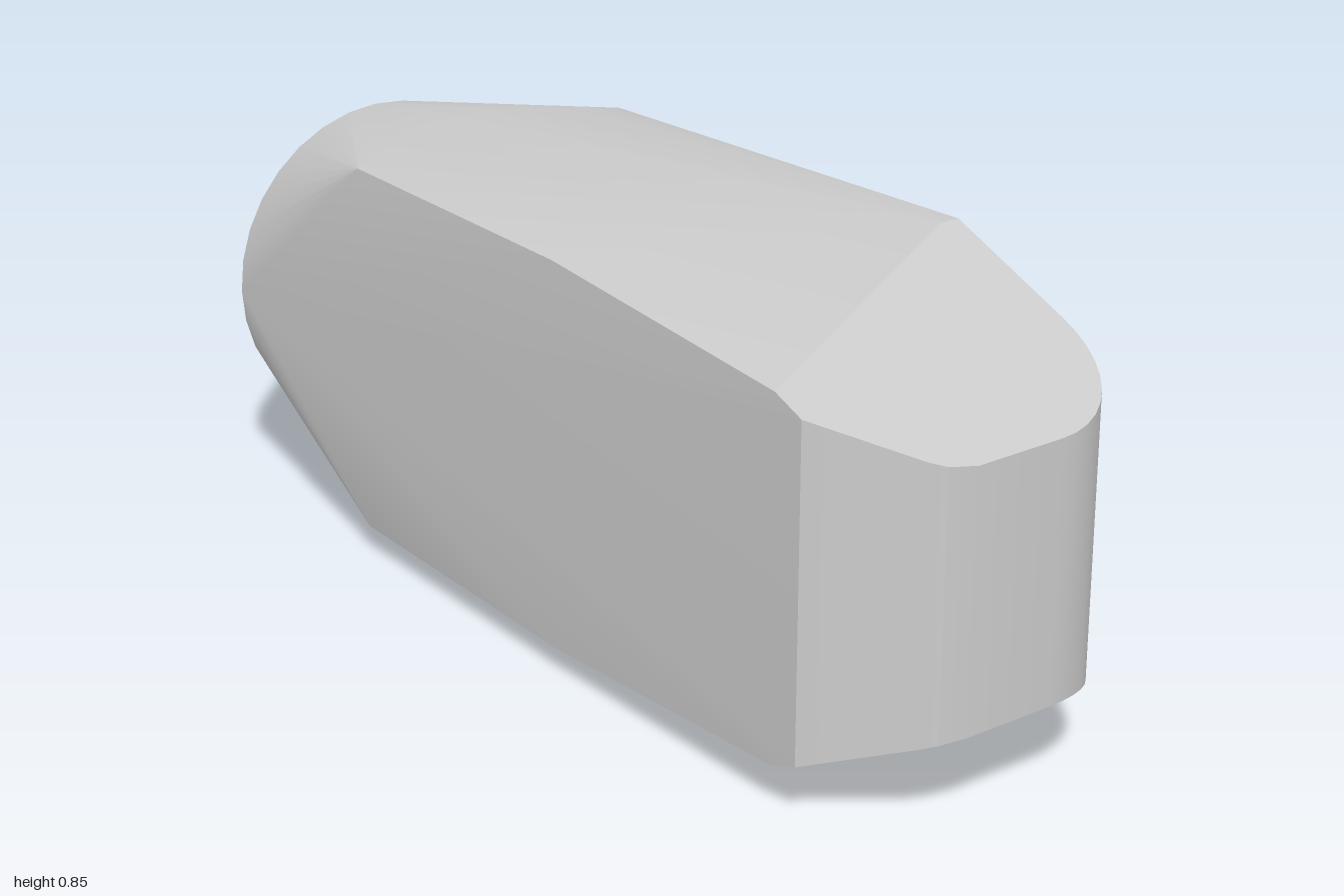
import * as THREE from 'three';
import { ConvexGeometry } from 'three/addons/geometries/ConvexGeometry.js';
import { toCreasedNormals } from 'three/addons/utils/BufferGeometryUtils.js';

const MID = 0.4265; // height of the horizontal symmetry plane

export function createModel() {
  const group = new THREE.Group();
  const points = [];

  // adds a point and its twin below the symmetry plane
  const addPair = (x, y, z) => {
    points.push(new THREE.Vector3(x, y, z), new THREE.Vector3(x, 2 * MID - y, z));
  };
  // height of the sloping front facet
  const slope = (z) => 0.67 + (1 - z) * 0.366;

  // nose outline: chamfered on one side, rounded on the other
  const nose = [[-0.3, 0.745], [-0.3, 0.813], [-0.165, 0.965], [-0.14, 0.985], [-0.09, 1]];
  for (let i = 0; i <= 10; i++) {
    const a = (i / 10) * Math.PI / 2;
    nose.push([0.09 + 0.21 * Math.sin(a), 0.77 + 0.23 * Math.cos(a)]);
  }
  nose.push([0.26, 0.5], [0.3, 0.5]);
  for (const [x, z] of nose) addPair(x, slope(z), z);

  // shoulder on the chamfered side
  addPair(-0.3, 0.8, 0.13);

  // curved rear edge of the top and bottom
  for (let i = -6; i <= 6; i++) {
    const t = i / 6;
    addPair(0.3 * t, 0.8 - 0.008 * t * t, -0.6 + 0.11 * t * t);
  }

  // round tail with a chamfered rim
  const segments = 32;
  for (const [radius, z] of [[0.325, -0.9], [0.225, -1]]) {
    for (let i = 0; i < segments; i++) {
      const a = (i / segments) * Math.PI * 2;
      points.push(new THREE.Vector3(radius * Math.cos(a), MID + radius * Math.sin(a), z));
    }
  }

  const body = new THREE.Mesh(
    toCreasedNormals(new ConvexGeometry(points), 0.3),
    new THREE.MeshStandardMaterial({ color: 0xcccccc })
  );
  body.name = 'body';
  group.add(body);
  return group;
}
